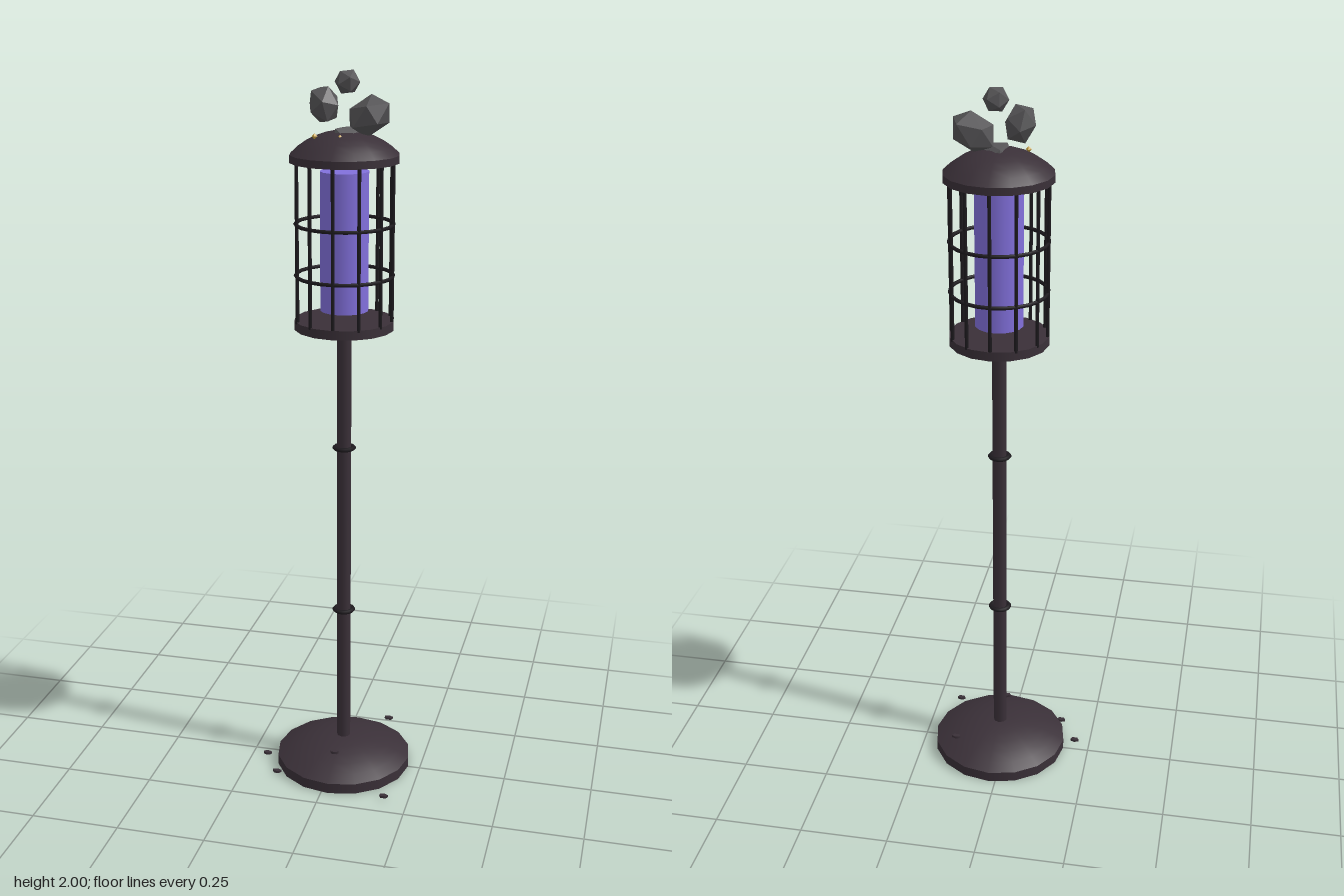
import * as THREE from 'three';

export function createModel() {
  const model = new THREE.Group();
  const mat = (name, color, extra = {}) => new THREE.MeshStandardMaterial({ name, color, ...extra });
  const iron = mat('dark iron', 0x3a3038);
  const bars = mat('black iron', 0x1d1a1e);
  const glow = mat('violet glow', 0x8270dc);
  const stone = mat('grey stone', 0x555456, { flatShading: true });
  const gold = mat('gold', 0xc9a23c, { flatShading: true });

  const lamp = new THREE.Group();
  lamp.name = 'lampPost';
  lamp.position.x = 0.02;
  model.add(lamp);

  const add = (name, geo, material, x = 0, y = 0, z = 0, parent = lamp) => {
    const mesh = new THREE.Mesh(geo, material);
    mesh.name = name;
    mesh.position.set(x, y, z);
    parent.add(mesh);
    return mesh;
  };
  const drum = (name, r, y0, y1, sides, material) =>
    add(name, new THREE.CylinderGeometry(r, r, y1 - y0, sides), material, 0, (y0 + y1) / 2);

  // Shallow spherical cap rising from radius r to height h
  const dome = (name, r, h, y) => {
    const R = (r * r + h * h) / (2 * h);
    const a = Math.asin(r / R);
    const pts = [];
    for (let i = 0; i <= 6; i++) {
      const t = a * (1 - i / 6);
      pts.push(new THREE.Vector2(R * Math.sin(t), R * Math.cos(t) - R + h));
    }
    return add(name, new THREE.LatheGeometry(pts, 16), iron, 0, y);
  };

  // Foot and pole
  drum('footRim', 0.195, 0, 0.03, 16, iron);
  dome('footDome', 0.195, 0.055, 0.03);
  drum('pole', 0.02, 0.07, 1.33, 8, iron);
  for (const y of [0.49, 0.98]) {
    const ring = add('poleRing', new THREE.TorusGeometry(0.025, 0.008, 6, 16), bars, 0, y);
    ring.rotation.x = Math.PI / 2;
    ring.scale.z = 0.7;
  }

  // Lantern floor, glowing core and roof
  drum('lanternFloor', 0.135, 1.32, 1.345, 16, iron);
  drum('glowCore', 0.065, 1.37, 1.74, 16, glow);
  drum('roofRim', 0.145, 1.763, 1.783, 16, iron);
  dome('roofDome', 0.145, 0.062, 1.783);

  // Cage
  for (let i = 0; i < 12; i++) {
    const a = (i * Math.PI) / 6;
    add('cageBar', new THREE.CylinderGeometry(0.005, 0.005, 0.43, 6), bars,
      0.13 * Math.sin(a), 1.555, 0.13 * Math.cos(a));
  }
  for (const y of [1.465, 1.602]) {
    add('cageRing', new THREE.TorusGeometry(0.13, 0.005, 6, 24), bars, 0, y).rotation.x = Math.PI / 2;
  }

  // Loose stones over the roof: x, y, z, half sizes, rotation
  const rocks = [
    [0.008, 1.803, 0.003, 0.052, 0.062, 0.062, 0.3, 0.4, 0.1],
    [-0.055, 1.908, 0, 0.043, 0.053, 0.045, 0.4, 0.2, 0.25],
    [0.065, 1.882, 0, 0.066, 0.05, 0.053, 0.1, 0.3, 0.6],
    [0.007, 1.966, 0, 0.034, 0.034, 0.036, 0.2, 0.5, 0.1],
  ];
  for (const [x, y, z, sx, sy, sz, rx, ry, rz] of rocks) {
    const geo = new THREE.IcosahedronGeometry(1, 0);
    geo.rotateX(rx).rotateY(ry).scale(sx, sy, sz).rotateZ(rz);
    add('roofStone', geo, stone, x, y, z);
  }

  // Gold flecks on the roof
  for (const [x, z] of [[-0.068, 0.048], [0.002, 0.06]]) {
    add('goldFleck', new THREE.OctahedronGeometry(0.008), gold, x, 1.832, z);
  }

  // Flat chips scattered round the foot
  const chips = [
    [-0.205, 0.008, 0.035], [-0.15, 0.008, 0.127], [0.18, 0.008, 0.184],
    [0.132, 0.088, -0.115], [0.02, 0.088, 0.115],
  ];
  for (const [x, y, z] of chips) {
    const geo = new THREE.CylinderGeometry(0.013, 0.013, 0.007, 5);
    geo.rotateY(Math.PI).scale(1, 1, 0.6);
    add('groundChip', geo, iron, x, y, z, model);
  }
  return model;
}
